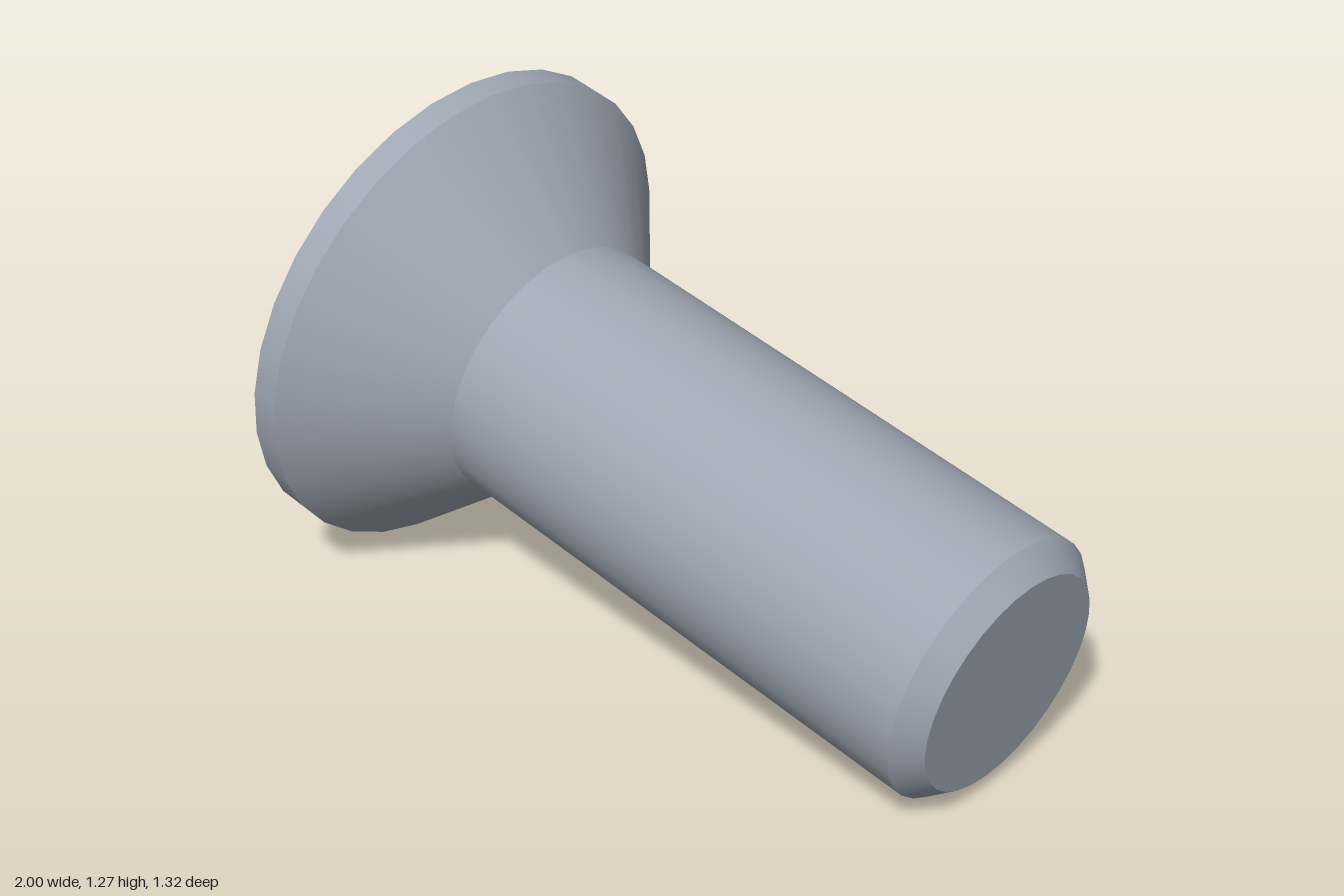
import * as THREE from 'three';

const SIDES = 32;
const HEAD_R = 0.637, SHAFT_R = 0.34, TIP_R = 0.284, LENGTH = 1.817;

// Cross recess outline: four wide slots with a thin rib notch between each pair
function recessOutline() {
  const quarter = [[0.3, -0.112], [0.3, 0.112], [0.132, 0.112], [0.257, 0.237], [0.237, 0.257], [0.112, 0.132]];
  const points = [];
  for (let k = 0; k < 4; k++) {
    for (const [x, y] of quarter) {
      points.push(new THREE.Vector2(x, y).rotateAround(new THREE.Vector2(), k * Math.PI / 2));
    }
  }
  return points;
}

// Tapered recess walls and shallow conical floor, facing the opening
function recessGeometry(outline, depth, taper) {
  const positions = [];
  const n = outline.length;
  const top = (p) => [p.x, p.y, 0];
  const low = (p) => [p.x * taper, p.y * taper, depth];
  for (let i = 0; i < n; i++) {
    const p = outline[i], q = outline[(i + 1) % n];
    positions.push(...top(p), ...low(p), ...low(q));
    positions.push(...top(p), ...low(q), ...top(q));
    positions.push(...low(q), ...low(p), 0, 0, depth + 0.06);
  }
  const geometry = new THREE.BufferGeometry();
  geometry.setAttribute('position', new THREE.Float32BufferAttribute(positions, 3));
  geometry.computeVertexNormals();
  return geometry;
}

export function createModel() {
  const steel = new THREE.MeshStandardMaterial({ color: 0x9ea7b3 });
  steel.name = 'steel';
  const screw = new THREE.Group();
  screw.name = 'countersunkScrew';

  const add = (name, geometry) => {
    const mesh = new THREE.Mesh(geometry, steel);
    mesh.name = name;
    screw.add(mesh);
  };

  // Turned surfaces along local z, one per profile segment to keep edges crisp
  const turned = [
    ['headRim', HEAD_R, 0, HEAD_R, 0.07],
    ['headCone', HEAD_R, 0.07, SHAFT_R, 0.367],
    ['shaft', SHAFT_R, 0.367, SHAFT_R, LENGTH - 0.06],
    ['tipChamfer', SHAFT_R, LENGTH - 0.06, TIP_R, LENGTH],
    ['tipFace', TIP_R, LENGTH, 0, LENGTH],
  ];
  for (const [name, r0, z0, r1, z1] of turned) {
    const profile = [new THREE.Vector2(r0, z0), new THREE.Vector2(r1, z1)];
    add(name, new THREE.LatheGeometry(profile, SIDES).rotateX(Math.PI / 2));
  }

  // Flat head face with the drive recess cut through it
  const outline = recessOutline();
  const rim = [];
  for (let i = 0; i < SIDES; i++) {
    const a = i / SIDES * Math.PI * 2;
    rim.push(new THREE.Vector2(Math.cos(a) * HEAD_R, Math.sin(a) * HEAD_R));
  }
  const face = new THREE.Shape(rim);
  face.holes.push(new THREE.Path(outline));
  add('headFace', new THREE.ShapeGeometry(face).rotateY(Math.PI));
  add('driveRecess', recessGeometry(outline, 0.38, 0.5));

  // Tilt the screw so it rests on the head rim and the tip
  const axis = new THREE.Vector3(1, -0.1786, 0.216).normalize();
  const side = new THREE.Vector3(0, 1, 0).cross(axis).normalize();
  const up = axis.clone().cross(side);
  screw.quaternion.setFromRotationMatrix(new THREE.Matrix4().makeBasis(side, up, axis));
  screw.position.set(-0.827, 0.6425, -0.037);

  const model = new THREE.Group();
  model.name = 'model';
  model.add(screw);
  return model;
}
